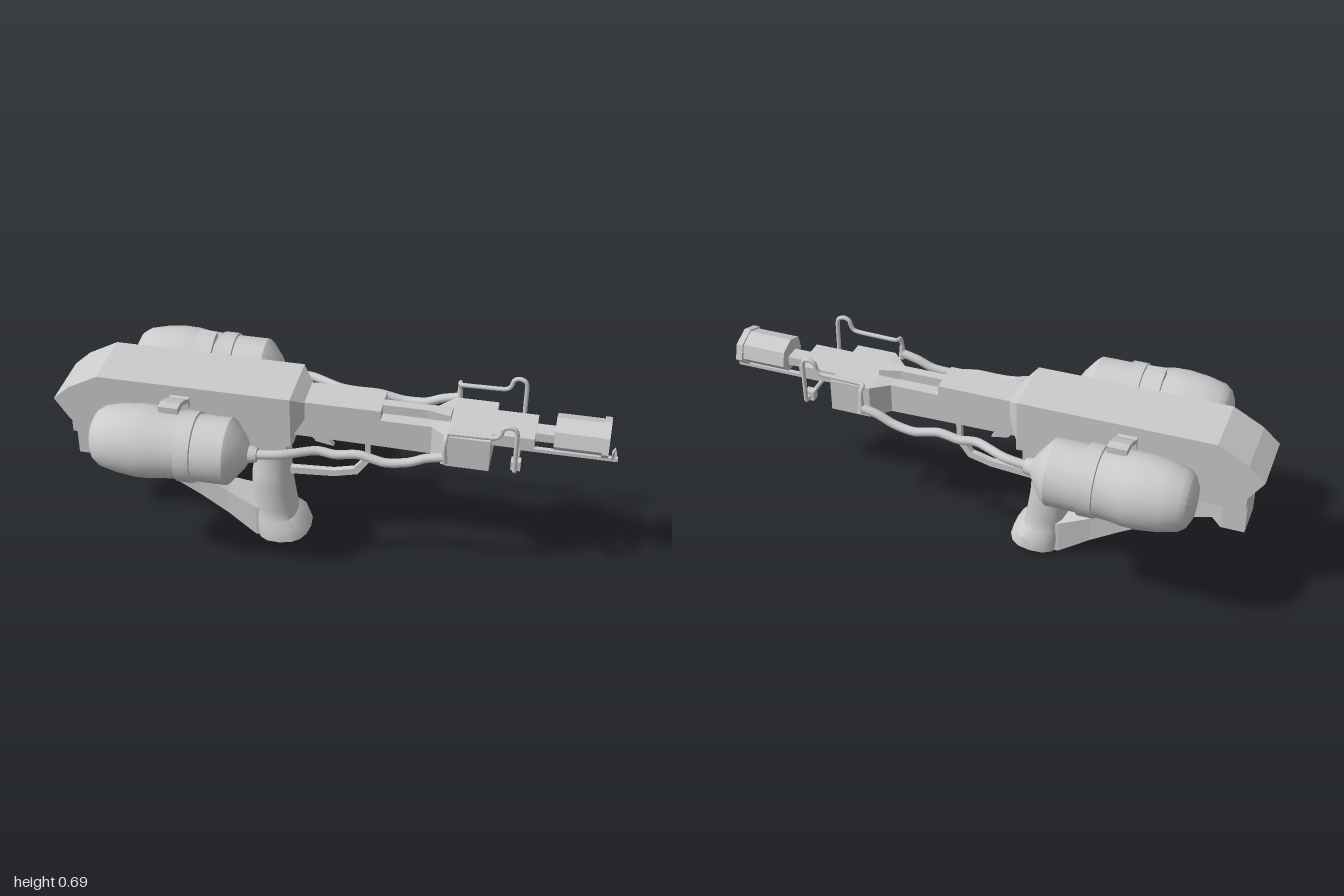
import * as THREE from 'three';
import { toCreasedNormals, mergeVertices } from 'three/addons/utils/BufferGeometryUtils.js';

const material = new THREE.MeshStandardMaterial({ color: 0xcccccc });
const V = (x, y, z) => new THREE.Vector3(x, y, z);

function add(parent, name, geometry) {
  const mesh = new THREE.Mesh(geometry, material);
  mesh.name = name;
  parent.add(mesh);
  return mesh;
}

// Closed loft: rings run counter-clockwise seen from the direction of travel
function loft(rings, crease = 0.5) {
  const n = rings[0].length, pos = [], idx = [];
  const centre = (r) => r.reduce((s, p) => s.add(p), V(0, 0, 0)).divideScalar(n);
  rings.forEach((r) => r.forEach((p) => pos.push(p.x, p.y, p.z)));
  for (let k = 0; k < rings.length - 1; k++) {
    for (let i = 0; i < n; i++) {
      const a = k * n + i, b = k * n + ((i + 1) % n);
      idx.push(a, b, a + n, b, b + n, a + n);
    }
  }
  const c0 = pos.length / 3, last = (rings.length - 1) * n;
  [rings[0], rings[rings.length - 1]].forEach((r) => pos.push(...centre(r).toArray()));
  for (let i = 0; i < n; i++) {
    const j = (i + 1) % n;
    idx.push(c0, j, i, c0 + 1, last + i, last + j);
  }
  const g = new THREE.BufferGeometry();
  g.setAttribute('position', new THREE.Float32BufferAttribute(pos, 3));
  g.setIndex(idx);
  return toCreasedNormals(g, crease);
}

// Rectangular sections along x: [x, bottom, top, half width]
const boxLoft = (sections) => loft(sections.map(([x, b, t, w]) =>
  [V(x, b, w), V(x, b, -w), V(x, t, -w), V(x, t, w)]), 0.1);

// Box between two x, y and z limits
function block(x0, x1, y0, y1, z0, z1) {
  return new THREE.BoxGeometry(x1 - x0, y1 - y0, z1 - z0)
    .translate((x0 + x1) / 2, (y0 + y1) / 2, (z0 + z1) / 2);
}

// Side outline extruded symmetrically across z
function plate(points, halfWidth) {
  const shape = new THREE.Shape(points.map((p) => new THREE.Vector2(...p)));
  return new THREE.ExtrudeGeometry(shape, { depth: 2 * halfWidth, bevelEnabled: false })
    .translate(0, 0, -halfWidth);
}

function tube(points, radius, tension = 0.4) {
  const curve = new THREE.CatmullRomCurve3(points.map((p) => V(...p)), false, 'catmullrom', tension);
  return new THREE.TubeGeometry(curve, points.length * 6, radius, 10);
}

// One side's tank, bracket and fuel lines, placed on +z
function buildTankSide() {
  const side = new THREE.Group();

  const profile = [[0, -0.808], [0.06, -0.80], [0.09, -0.785], [0.108, -0.76], [0.122, -0.7],
    [0.13, -0.63], [0.129, -0.58], [0.122, -0.535], [0.119, -0.48], [0.126, -0.478], [0.126, -0.424],
    [0.118, -0.422], [0.118, -0.31], [0.108, -0.296], [0.06, -0.257], [0.032, -0.24],
    [0.026, -0.212], [0, -0.21]].map((p) => new THREE.Vector2(...p));
  const tank = new THREE.LatheGeometry(profile, 24).rotateZ(-Math.PI / 2).translate(0, 0.525, 0.26);
  add(side, 'tank', toCreasedNormals(mergeVertices(tank), 0.5));

  // Arched clamp from the body over the tank
  const clamp = new THREE.Shape();
  clamp.moveTo(0.1, 0.59);
  [[0.132, 0.59], [0.132, 0.615], [0.165, 0.632], [0.2, 0.648], [0.255, 0.648], [0.255, 0.672],
    [0.22, 0.672], [0.175, 0.655], [0.132, 0.63], [0.1, 0.63]].forEach((p) => clamp.lineTo(...p));
  const clampGeo = new THREE.ExtrudeGeometry(clamp, { depth: 0.07, bevelEnabled: false });
  add(side, 'tankClamp', clampGeo.rotateY(-Math.PI / 2).translate(-0.49, 0, 0));

  add(side, 'fuelHose', tube([[-0.22, 0.525, 0.26], [-0.13, 0.53, 0.248], [-0.02, 0.53, 0.2],
    [0.05, 0.524, 0.2], [0.13, 0.53, 0.192], [0.22, 0.512, 0.194], [0.3, 0.52, 0.187],
    [0.36, 0.545, 0.185], [0.42, 0.56, 0.185]], 0.016));
  add(side, 'hoseFitting', new THREE.CylinderGeometry(0.007, 0.014, 0.07, 10).translate(0.422, 0.575, 0.186));
  add(side, 'fuelPipe', tube([[0.422, 0.6, 0.186], [0.424, 0.628, 0.178], [0.43, 0.635, 0.152],
    [0.5, 0.637, 0.15], [0.585, 0.64, 0.15], [0.605, 0.655, 0.15], [0.613, 0.68, 0.15],
    [0.632, 0.689, 0.15], [0.653, 0.682, 0.148], [0.66, 0.66, 0.148], [0.66, 0.58, 0.146],
    [0.66, 0.515, 0.143], [0.66, 0.506, 0.135], [0.66, 0.506, 0]], 0.008));
  add(side, 'pipeCoupling', block(0.643, 0.677, 0.491, 0.527, 0.088, 0.118));
  return side;
}

export function createModel() {
  const model = new THREE.Group();
  model.name = 'twinTankSprayer';

  // Main body with angled rear and a tapered front
  add(model, 'body', plate([[-1, 0.552], [-0.945, 0.47], [-0.13, 0.47], [-0.13, 0.667],
    [-0.83, 0.667], [-0.94, 0.607]], 0.117));
  add(model, 'bodyUnderside', boxLoft([[-0.945, 0.41, 0.472, 0.105], [-0.15, 0.41, 0.472, 0.105]]));
  add(model, 'bodyFront', boxLoft([[-0.132, 0.5, 0.667, 0.117], [-0.09, 0.56, 0.63, 0.07]]));
  add(model, 'neck', boxLoft([[-0.3, 0.4, 0.48, 0.07], [-0.15, 0.41, 0.5, 0.07], [-0.13, 0.455, 0.51, 0.06]]));

  // Barrel housing, stepped down toward the front
  add(model, 'barrelRear', boxLoft([[-0.14, 0.487, 0.63, 0.065], [0.18, 0.483, 0.63, 0.065]]));
  add(model, 'barrelFront', boxLoft([[0.17, 0.483, 0.592, 0.065], [0.36, 0.48, 0.592, 0.065],
    [0.42, 0.478, 0.6, 0.122], [0.57, 0.478, 0.6, 0.122]]));
  add(model, 'topRib', boxLoft([[0.175, 0.58, 0.627, 0.018], [0.34, 0.58, 0.627, 0.018],
    [0.42, 0.58, 0.622, 0.03]]));
  add(model, 'nozzleMount', block(0.56, 0.715, 0.555, 0.6, -0.075, 0.075));
  add(model, 'nozzleNeck', block(0.71, 0.79, 0.562, 0.595, -0.03, 0.03));

  // Seven-sided muzzle with a slotted face plate
  const heptagon = (ry, rz) => Array.from({ length: 7 }, (_, i) => {
    const a = Math.PI / 2 + (i * 2 * Math.PI) / 7;
    return new THREE.Vector2(rz * Math.cos(a), 0.592 + ry * Math.sin(a));
  });
  const muzzle = [0.78, 0.945].map((x) => heptagon(0.06, 0.076).map((p) => V(x, p.y, -p.x)));
  add(model, 'muzzle', loft(muzzle, 0.1));
  const face = new THREE.Shape(heptagon(0.066, 0.087));
  const slot = [[-0.02, 0.555], [-0.02, 0.612], [0.02, 0.612], [0.02, 0.555]];
  face.holes.push(new THREE.Path(slot.map((p) => new THREE.Vector2(...p))));
  add(model, 'muzzlePlate', new THREE.ExtrudeGeometry(face, { depth: 0.024, bevelEnabled: false })
    .rotateY(Math.PI / 2).translate(0.942, 0, 0));

  // Pilot line ahead of the muzzle
  add(model, 'pilotRod', block(0.66, 1, 0.5, 0.513, -0.008, 0.008));
  add(model, 'pilotTip', boxLoft([[0.978, 0.51, 0.53, 0.014], [0.988, 0.51, 0.552, 0.005], [0.995, 0.51, 0.53, 0.008]]));

  // Grip with a flared, slightly tilted foot: [y, rear x, front x, half width, tilt]
  const gripRings = [[0.012, -0.272, -0.095, 0.09, 0.1], [0.02, -0.282, -0.085, 0.112, 0.1],
    [0.065, -0.286, -0.1, 0.111, 0.06], [0.098, -0.288, -0.135, 0.09, 0], [0.14, -0.29, -0.142, 0.086, 0],
    [0.24, -0.3, -0.156, 0.087, 0], [0.29, -0.298, -0.158, 0.08, 0], [0.33, -0.292, -0.156, 0.07, 0],
    [0.42, -0.285, -0.158, 0.068, 0]];
  add(model, 'grip', loft(gripRings.map(([y, x0, x1, w, tilt]) => Array.from({ length: 16 }, (_, i) => {
    const a = (i / 16) * Math.PI * 2, c = Math.cos(a), s = Math.sin(a);
    const sq = (v) => Math.sign(v) * Math.pow(Math.abs(v), 0.8);
    return V((x0 + x1) / 2 + sq(c) * (x1 - x0) / 2, y + tilt * 0.1 * c, -sq(s) * w);
  })), 0.7));

  // Shoulder block and the strut running down to the grip foot
  add(model, 'shoulderBlock', boxLoft([[-0.945, 0.29, 0.42, 0.07], [-0.86, 0.29, 0.42, 0.07], [-0.82, 0.325, 0.42, 0.06]]));
  add(model, 'strut', boxLoft([[-0.85, 0.32, 0.41, 0.055], [-0.74, 0.275, 0.365, 0.035],
    [-0.5, 0.135, 0.225, 0.032], [-0.39, 0.075, 0.175, 0.045], [-0.28, 0.012, 0.14, 0.07],
    [-0.22, 0.012, 0.13, 0.07]]));

  // Trigger and guard
  add(model, 'trigger', plate([[-0.1, 0.5], [-0.09, 0.465], [-0.062, 0.43], [0.003, 0.418],
    [-0.02, 0.45], [-0.03, 0.5]], 0.011));
  add(model, 'triggerGuard', plate([[0.118, 0.49], [0.116, 0.38], [0.075, 0.327], [0, 0.308], [-0.165, 0.298],
    [-0.165, 0.27], [0.005, 0.283], [0.09, 0.305], [0.134, 0.365], [0.136, 0.49]], 0.011));

  // Tank sets on both sides
  const leftSet = buildTankSide();
  leftSet.name = 'leftTankSet';
  const rightSet = buildTankSide();
  rightSet.name = 'rightTankSet';
  rightSet.scale.z = -1;
  model.add(leftSet, rightSet);
  return model;
}
